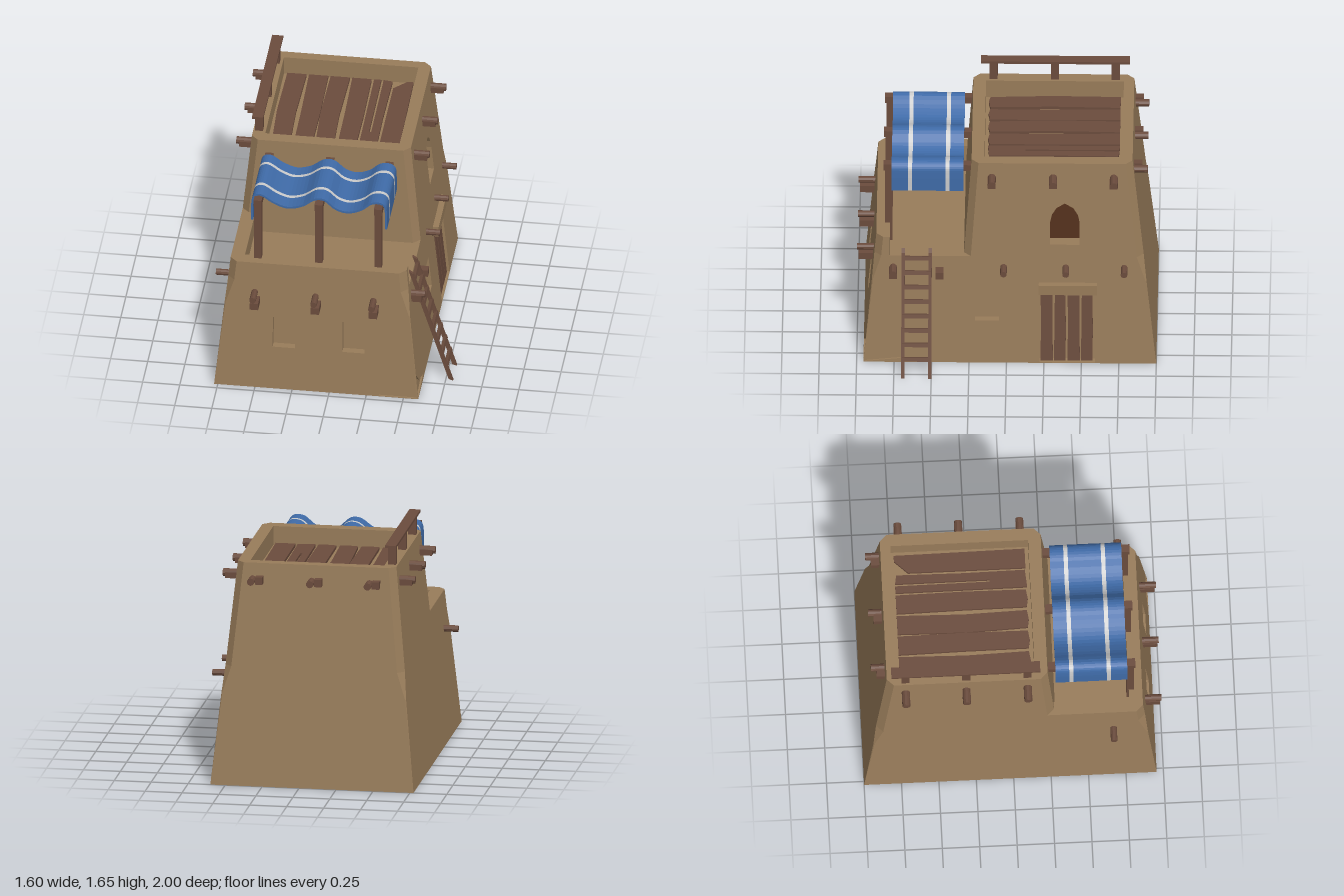
import * as THREE from 'three';

const mat = (color) => new THREE.MeshStandardMaterial({ color, flatShading: true, side: THREE.DoubleSide });
const V = (x, y, z) => new THREE.Vector3(x, y, z);
const shapeOf = (pts) => new THREE.Shape(pts.map(([x, y]) => new THREE.Vector2(x, y)));

export function createModel() {
  const root = new THREE.Group();
  const clay = mat(0x987c5a), wood = mat(0x6b4c3d), dark = mat(0x52301b), blue = mat(0x3f6ba8), white = mat(0xc4c4c4);

  const add = (name, geo, material, parent = root) => {
    const m = new THREE.Mesh(geo, material);
    m.name = name;
    parent.add(m);
    return m;
  };
  const group = (name) => {
    const g = new THREE.Group();
    g.name = name;
    root.add(g);
    return g;
  };
  // box given by its minimum and maximum corners
  const box = (name, a, b, material = wood, parent = root) => {
    const m = add(name, new THREE.BoxGeometry(b[0] - a[0], b[1] - a[1], b[2] - a[2]), material, parent);
    m.position.set((a[0] + b[0]) / 2, (a[1] + b[1]) / 2, (a[2] + b[2]) / 2);
    return m;
  };
  const quads = (name, list, material = clay, parent = root) => {
    const pts = list.flatMap(([a, b, c, d]) => [a, b, c, a, c, d]);
    const g = new THREE.BufferGeometry().setFromPoints(pts);
    g.computeVertexNormals();
    return add(name, g, material, parent);
  };
  // horizontal face from [x, z] points
  const flat = (name, pts, y, holes = []) => {
    const s = shapeOf(pts.map(([x, z]) => [x, -z]));
    holes.forEach((h) => s.holes.push(shapeOf(h.map(([x, z]) => [x, -z]))));
    return add(name, new THREE.ShapeGeometry(s).rotateX(-Math.PI / 2).translate(0, y, 0), clay, body);
  };

  // Sloping walls: outward direction and distance from the axis at height y
  const walls = {
    front: { n: V(0, 0, 1), d: (y) => 0.955 - 0.09 * y },
    right: { n: V(1, 0, 0), d: (y) => 0.6 - 0.102 * y },
    back: { n: V(0, 0, -1), d: (y) => 1 - 0.107 * y },
    left: { n: V(-1, 0, 0), d: (y) => 0.775 - 0.1 * y },
    tower: { n: V(0, 0, 1), d: (y) => 0.342 - 0.0714 * y },
  };
  const { front, right, back, left, tower } = walls;
  const onWall = (w, u, y, depth = 0) => V(0, 1, 0).cross(w.n).multiplyScalar(u)
    .addScaledVector(w.n, w.d(y) - depth).add(V(0, y, 0));
  const mapToWall = (geo, w, depth = 0) => {
    const p = geo.attributes.position;
    for (let i = 0; i < p.count; i++) {
      const q = onWall(w, p.getX(i), p.getY(i), depth - p.getZ(i));
      p.setXYZ(i, q.x, q.y, q.z);
    }
    geo.computeVertexNormals();
    return geo;
  };
  // corner chamfer, fading out towards the ground
  const chamfer = (y) => (y <= 0.62 ? 0.01 * y : y < 0.8 ? 0.006 + (y - 0.62) * 0.22 : 0.046);
  const edge = (w, s, ys) => ys.map((y) => [s * (w.d(y) - chamfer(y)), y]);
  const low = [0, 0.62, 0.8, 0.94], high = [0, 0.62, 0.8, 1.5], upper = [0.8, 1.5];
  const down = (ys) => [...ys].reverse();

  const body = group('building');
  // wall face with recessed openings
  const wall = (name, w, outline, openings = []) => {
    const s = shapeOf(outline);
    openings.forEach((o) => s.holes.push(shapeOf(o.pts)));
    add(name, mapToWall(new THREE.ShapeGeometry(s), w), clay, body);
    for (const { name: label, pts, depth, material = clay } of openings) {
      add(label + 'Back', mapToWall(new THREE.ShapeGeometry(shapeOf(pts)), w, depth), material, body);
      quads(label + 'Reveal', pts.map((p, i) => {
        const q = pts[(i + 1) % pts.length];
        return [onWall(w, ...p), onWall(w, ...q), onWall(w, ...q, depth), onWall(w, ...p, depth)];
      }), clay, body);
    }
  };
  const rect = (u0, y0, u1, y1) => [[u0, y0], [u1, y0], [u1, y1], [u0, y1]];
  const arch = [[0.29, 0.89], [0.487, 0.89], [0.487, 1.06], [0.475, 1.115], [0.445, 1.165],
    [0.388, 1.2], [0.332, 1.165], [0.302, 1.115], [0.29, 1.06]];

  wall('frontWall', front, [...edge(right, 1, low), ...edge(left, -1, down(low))], [
    { name: 'frontWindowA', pts: rect(-0.385, 0.315, -0.235, 0.54), depth: 0.05 },
    { name: 'frontWindowB', pts: rect(0.085, 0.315, 0.235, 0.54), depth: 0.05 },
    { name: 'frontChip', pts: [[0.33, 0.005], [0.593, 0.005], [0.577, 0.17], [0.45, 0.12]], depth: 0.012 },
  ]);
  wall('rightWall', right, [...edge(back, 1, high), ...edge(tower, -1, down(upper)),
    [-0.78, 0.8], [-0.78, 0.94], ...edge(front, -1, down(low))], [
    { name: 'doorway', pts: rect(0.22, 0.005, 0.59, 0.53), depth: 0.05 },
    { name: 'archWindow', pts: arch, depth: 0.08, material: dark },
    { name: 'sideWindow', pts: rect(-0.21, 0.315, -0.05, 0.54), depth: 0.05 },
    { name: 'sideChip', pts: [[-0.947, 0.005], [-0.7, 0.03], [-0.85, 0.09], [-0.93, 0.17]], depth: 0.012 },
  ]);
  wall('backWall', back, [...edge(left, 1, high), ...edge(right, -1, down(high))]);
  wall('leftWall', left, [...edge(front, 1, low), ...edge(tower, 1, [0.94, 1.5]), ...edge(back, -1, down(high))]);
  wall('towerFrontWall', tower, [...edge(right, 1, upper), ...edge(left, -1, down(upper))]);

  // chamfered corners
  const corner = (a, b, ys) => quads('cornerChamfer', ys.slice(1).map((y1, i) => {
    const y0 = ys[i];
    const pa = (y) => onWall(a, b.d(y) - chamfer(y), y), pb = (y) => onWall(b, chamfer(y) - a.d(y), y);
    return [pa(y0), pb(y0), pb(y1), pa(y1)];
  }), clay, body);
  [[front, right, low], [left, front, low], [right, back, high], [back, left, high],
    [tower, right, upper], [left, tower, upper]].forEach((c) => corner(...c));

  // outline of a level: chamfered rectangle in [x, z]
  const outline = (f, y) => {
    const c = chamfer(y), r = right.d(y), l = -left.d(y), b = -back.d(y), z = f.d(y);
    return [[r, z - c], [r - c, z], [l + c, z], [l, z - c], [l, b + c], [l + c, b], [r - c, b], [r, b + c]];
  };
  // inward faces between two heights
  const innerWalls = (name, pts, y0, y1) => quads(name, pts.slice(1).map(([x, z], i) => {
    const [px, pz] = pts[i];
    return [V(px, y0, pz), V(x, y0, z), V(x, y1, z), V(px, y1, pz)];
  }), clay, body);

  // roof rim and floor
  const inner = [[-0.54, -0.77], [0.365, -0.77], [0.365, 0.15], [-0.54, 0.15]];
  flat('roofRim', outline(tower, 1.5), 1.5, [inner]);
  flat('roofFloor', inner, 1.37);
  innerWalls('roofRimInside', [...inner, inner[0]].reverse(), 1.37, 1.5);

  // terrace parapet, floor and underside
  const o = outline(front, 0.94), tz = tower.d(0.94);
  flat('terraceParapetTop', [[o[0][0], 0.78], ...o.slice(0, 4), [o[3][0], tz - 0.045], [-0.59, tz - 0.045], [-0.59, 0.78]], 0.94);
  innerWalls('terraceParapetInside', [[right.d(0.87), 0.78], [-0.59, 0.78], [-0.59, 0.26]], 0.8, 0.94);
  flat('terraceFloor', [[-0.6, 0.23], [right.d(0.8), 0.23], [right.d(0.8), 0.79], [-0.6, 0.79]], 0.8);
  quads('underside', [[V(-0.775, 0, -1), V(0.6, 0, -1), V(0.6, 0, 0.955), V(-0.775, 0, 0.955)]], clay, body);

  // door planks following the wall slope, and lintel
  const door = group('door');
  for (let i = 0; i < 4; i++) {
    const u = 0.226 + i * 0.09, t = (i % 2) * 0.006;
    const s = shapeOf([[u, 0.01], [u + 0.084 - t, 0.01], [u + 0.08, 0.25], [u + 0.082 - t, 0.515], [u + t, 0.52], [u + 0.005, 0.3]]);
    add('doorPlank', mapToWall(new THREE.ExtrudeGeometry(s, { depth: 0.03, bevelEnabled: false }), right, 0.045), wood, door);
  }
  box('doorLintel', [0.5, 0.53, -0.605], [0.578, 0.605, -0.215], clay);

  // roof planks
  const planks = group('roofPlanks');
  const plank = (pts) => add('roofPlank', new THREE.ExtrudeGeometry(shapeOf(pts.map(([x, z]) => [x, -z])),
    { depth: 0.02, bevelEnabled: false }).rotateX(-Math.PI / 2).translate(0, 1.372, 0), wood, planks);
  for (let i = 0; i < 4; i++) {
    const x = -0.515 + i * 0.146, k = 0.008 * (i % 2 ? -1 : 1);
    plank([[x, -0.75], [x + 0.13, -0.75], [x + 0.128 - k, -0.3], [x + 0.132, 0.12], [x + 0.065, 0.13], [x + 0.01, 0.12], [x - k, -0.3]]);
  }
  plank([[0.07, -0.75], [0.118, -0.75], [0.122, -0.12], [0.136, -0.12], [0.134, -0.75], [0.195, -0.74], [0.19, -0.3], [0.195, 0.12], [0.075, 0.13]]);
  plank([[0.21, -0.66], [0.295, -0.75], [0.335, -0.75], [0.345, 0.125], [0.21, 0.125]]);

  // projecting beams: square timbers and round logs
  const beams = group('beams');
  const log = (a, b, r = 0.022) => {
    const dir = b.clone().sub(a);
    const m = add('logBeam', new THREE.CylinderGeometry(r, r, dir.length(), 10), wood, beams);
    m.position.copy(a).addScaledVector(dir, 0.5);
    m.quaternion.setFromUnitVectors(V(0, 1, 0), dir.normalize());
  };
  const timber = (a, b) => box('squareBeam', a, b, wood, beams);
  for (const z of [0.1, -0.31, -0.715]) {
    timber([0.38, 1.36, z - 0.027], [0.545, 1.4, z + 0.027]);
    log(V(0.38, 1.395, z), V(0.56, 1.395, z), 0.026);
    timber([-0.72, 1.36, z - 0.027], [-0.58, 1.4, z + 0.027]);
    log(V(-0.74, 1.395, z), V(-0.58, 1.395, z), 0.026);
  }
  for (const x of [-0.47, -0.08, 0.32]) {
    timber([x - 0.055, 1.365, -0.905], [x - 0.005, 1.415, -0.8]);
    log(V(x + 0.018, 1.39, -0.94), V(x + 0.018, 1.39, -0.8), 0.025);
  }
  for (const x of [-0.51, -0.1, 0.29]) {
    log(V(x, 0.72, 0.85), V(x, 0.72, 1));
    timber([x - 0.02, 0.64, 0.85], [x + 0.036, 0.69, 0.99]);
  }
  for (const z of [0.02, -0.395, -0.785]) log(V(0.48, 0.72, z), V(0.62, 0.72, z));
  timber([0.48, 0.665, 0.42], [0.6, 0.715, 0.475]);
  timber([0.48, 0.665, 0.73], [0.6, 0.715, 0.785]);
  log(V(0.48, 0.715, 0.757), V(0.62, 0.715, 0.757), 0.025);
  log(V(-0.8, 0.71, 0.67), V(-0.66, 0.71, 0.67));

  // awning frame
  const frame = group('awningFrame');
  for (const x of [-0.5, -0.09, 0.31]) {
    box('awningPost', [x - 0.025, 0.8, 0.765], [x + 0.025, 1.37, 0.815], wood, frame);
    box('awningBeam', [x - 0.027, 1.36, 0.2], [x + 0.027, 1.408, 0.825], wood, frame);
  }
  // striped cloth, one wavy profile extruded strip by strip
  const awning = group('awning');
  const wave = new THREE.CatmullRomCurve3([[-0.545, 1.215], [-0.543, 1.35], [-0.53, 1.405], [-0.49, 1.42], [-0.4, 1.365],
    [-0.31, 1.333], [-0.21, 1.355], [-0.12, 1.415], [-0.06, 1.415], [0.02, 1.35], [0.1, 1.33], [0.19, 1.36],
    [0.26, 1.415], [0.32, 1.42], [0.35, 1.395], [0.357, 1.34], [0.358, 1.22]].map(([x, y]) => V(x, y, 0))).getPoints(60);
  const offset = (s) => wave.map((p, i) => {
    const t = wave[Math.min(i + 1, 60)].clone().sub(wave[Math.max(i - 1, 0)]).normalize();
    return [p.x - t.y * s, p.y + t.x * s];
  });
  const cloth = shapeOf([...offset(0.007), ...offset(-0.007).reverse()]);
  [0.29, 0.382, 0.41, 0.632, 0.66, 0.77].forEach((z, i, zs) => {
    if (i === 5) return;
    const g = new THREE.ExtrudeGeometry(cloth, { depth: zs[i + 1] - z, bevelEnabled: false });
    add(i % 2 ? 'whiteStripe' : 'blueCloth', g.translate(0, 0, z), i % 2 ? white : blue, awning);
  });

  // roof railing
  const rail = group('roofRailing');
  for (const z of [0.1, -0.31, -0.715]) box('railPost', [-0.612, 1.46, z - 0.027], [-0.56, 1.632, z + 0.027], wood, rail);
  box('railPlank', [-0.625, 1.63, -0.81], [-0.55, 1.647, 0.185], wood, rail);

  // leaning ladder
  const ladder = group('ladder');
  const leanX = (y) => 0.79 - y * 0.325;
  for (const z of [0.51, 0.69]) {
    const s = shapeOf([[leanX(0) - 0.02, 0.01], [leanX(0) + 0.01, 0], [leanX(0.83) + 0.012, 0.83], [leanX(0.85) - 0.012, 0.85]]);
    add('ladderRail', new THREE.ExtrudeGeometry(s, { depth: 0.022, bevelEnabled: false }).translate(0, 0, z - 0.011), wood, ladder);
  }
  for (let i = 0; i < 8; i++) {
    const y = 0.125 + i * 0.0955;
    box('ladderRung', [-0.011, -0.013, 0.505], [0.011, 0.013, 0.695], wood, ladder).position.set(leanX(y) + 0.006, y, 0.6);
    ladder.children.at(-1).rotation.z = 0.31;
  }
  return root;
}
